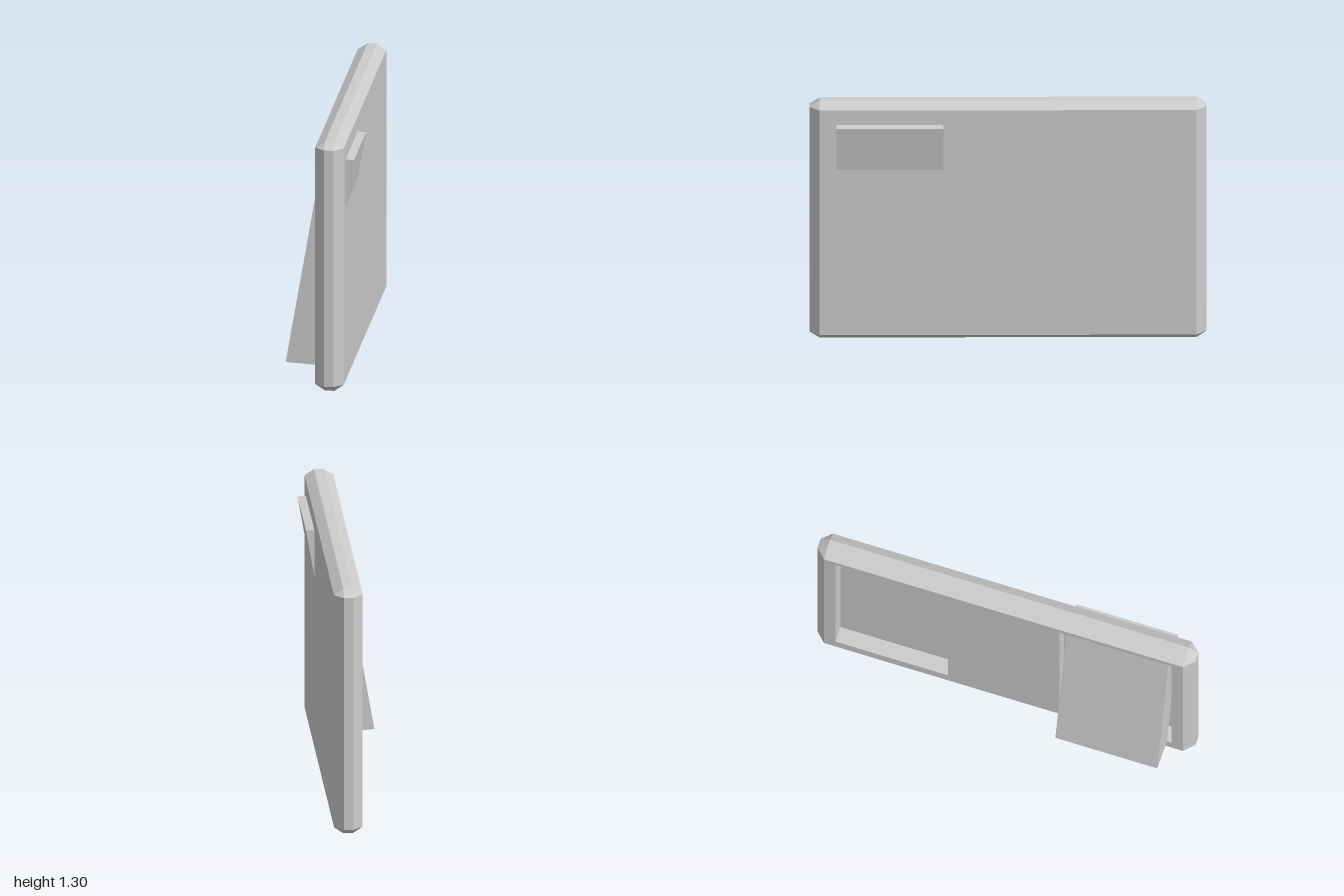
import * as THREE from 'three';
import { ConvexGeometry } from 'three/addons/geometries/ConvexGeometry.js';

const X0 = -0.015, X1 = 0.13;        // plate faces
const BOTTOM = 0.033, TOP = 1.267, HALF = 0.95; // flat part of the plate faces
const RECESS = { y0: 0.105, y1: 1.23, z0: 0.295, z1: 0.89, floor: 0.067 };

// Remove the triangles that face -x, optionally turning the rest inside out
function openSide(source, invert = false) {
  const p = (source.index ? source.toNonIndexed() : source).attributes.position;
  const out = [];
  const tri = new THREE.Triangle(), n = new THREE.Vector3();
  for (let i = 0; i < p.count; i += 3) {
    tri.setFromAttributeAndIndices(p, i, i + 1, i + 2);
    if (tri.getNormal(n).x < -0.99) continue;
    const corners = invert ? [tri.a, tri.c, tri.b] : [tri.a, tri.b, tri.c];
    corners.forEach((v) => out.push(v.x, v.y, v.z));
  }
  const g = new THREE.BufferGeometry();
  g.setAttribute('position', new THREE.Float32BufferAttribute(out, 3));
  g.computeVertexNormals();
  return g;
}

function rectangle(PathType, z0, y0, z1, y1) {
  return new PathType([[z0, y0], [z1, y0], [z1, y1], [z0, y1]].map(([z, y]) => new THREE.Vector2(z, y)));
}

export function createModel() {
  const group = new THREE.Group();
  const material = new THREE.MeshStandardMaterial({ color: 0xcccccc, flatShading: true });
  const add = (name, geometry) => {
    const mesh = new THREE.Mesh(geometry, material);
    mesh.name = name;
    group.add(mesh);
    return mesh;
  };

  // Chamfered plate, open where the recessed face goes
  const points = [];
  for (const s of [-1, 1]) {
    for (const top of [0, 1]) {
      const y = top ? TOP : BOTTOM;
      for (const x of [X0, X1]) points.push(new THREE.Vector3(x, y, s * HALF));
      for (const x of [0.035, 0.083]) {
        points.push(new THREE.Vector3(x, y, s));
        points.push(new THREE.Vector3(x, top ? 1.3 : 0, s * HALF));
      }
    }
  }
  add('plate', openSide(new ConvexGeometry(points)));

  // Recessed face with two openings
  const face = rectangle(THREE.Shape, -HALF, BOTTOM, HALF, TOP);
  const { y0, y1, z0, z1, floor } = RECESS;
  face.holes.push(rectangle(THREE.Path, z0, y0, z1, y1), rectangle(THREE.Path, -z1, y0, -z0, y1));
  add('plateFace', new THREE.ShapeGeometry(face).rotateY(-Math.PI / 2).translate(X0, 0, 0));

  // Walls and floor of each recess
  for (const s of [-1, 1]) {
    const tray = new THREE.BoxGeometry(floor - X0, y1 - y0, z1 - z0);
    tray.translate((floor + X0) / 2, (y0 + y1) / 2, s * (z0 + z1) / 2);
    add(s > 0 ? 'rockerRecess' : 'emptyRecess', openSide(tray, true));
  }

  // Tilted rocker that passes through the plate
  const profile = new THREE.Shape([[-0.174, 0.12], [-0.014, 0.109], [0.172, 1.184], [0.012, 1.195]]
    .map(([x, y]) => new THREE.Vector2(x, y)));
  const rocker = add('rocker', new THREE.ExtrudeGeometry(profile, { depth: 0.54, bevelEnabled: false }));
  rocker.position.z = 0.325;

  return group;
}
